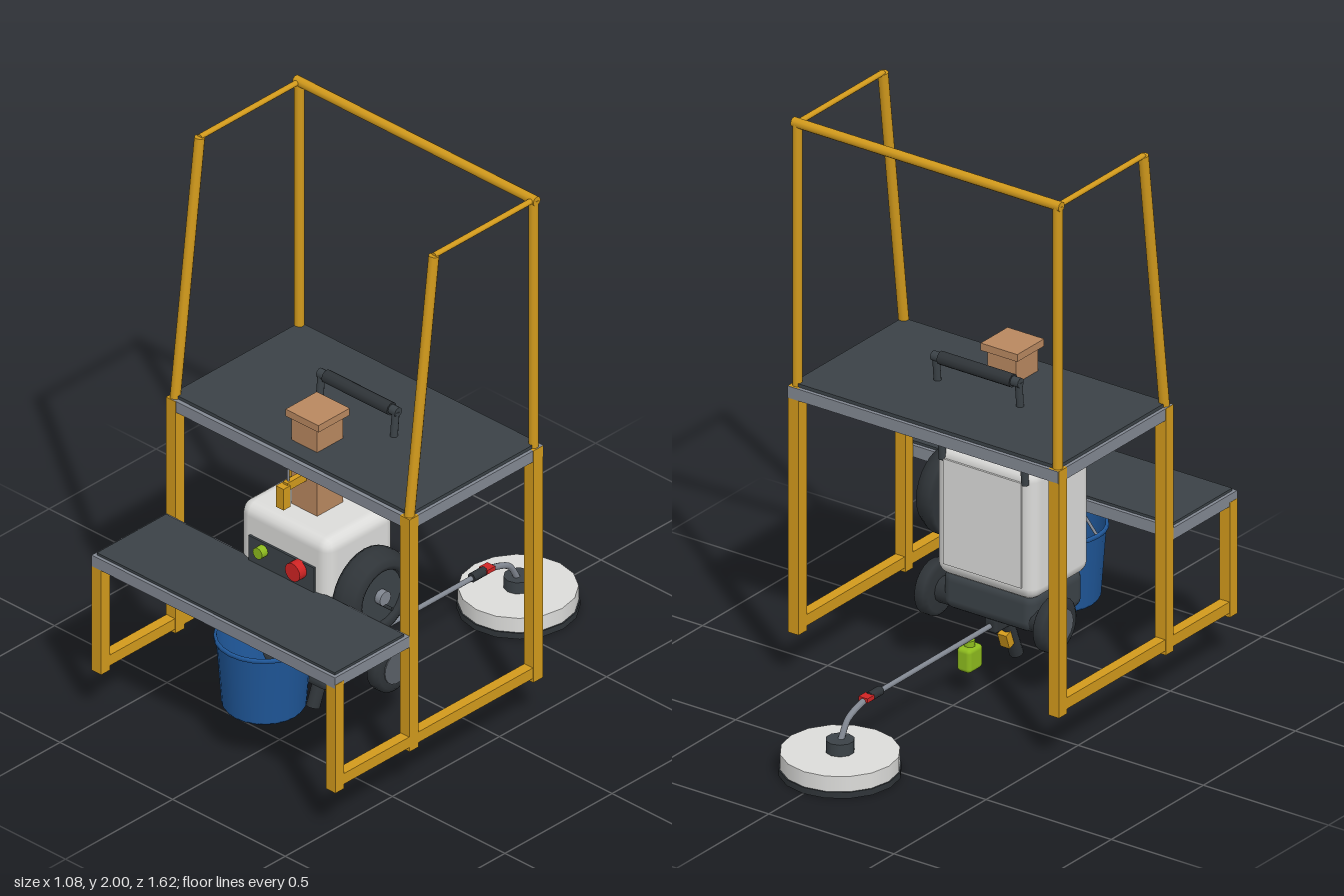
import * as THREE from 'three';
import { RoundedBoxGeometry } from 'three/addons/geometries/RoundedBoxGeometry.js';

export function createModel() {
  const root = new THREE.Group();
  const mat = (name, color, opts = {}) => {
    const m = new THREE.MeshStandardMaterial({ color, ...opts });
    m.name = name;
    return m;
  };
  const yellow = mat('yellow paint', 0xd29a1c);
  const grey = mat('grey metal', 0x828892);
  const dark = mat('dark plastic', 0x3b4247);
  const rubber = mat('black rubber', 0x2f3438);
  const hubGrey = mat('hub grey', 0x5a6067);
  const white = mat('white shell', 0xdcdcda);
  const blue = mat('blue plastic', 0x1f5799, { side: THREE.DoubleSide });
  const tan = mat('tan cardboard', 0xb98860);
  const red = mat('red', 0xd02424);
  const green = mat('green', 0x8dbb1e);

  const V = (x, y, z) => new THREE.Vector3(x, y, z);
  const add = (name, geo, m, parent = root) => {
    const mesh = new THREE.Mesh(geo, m);
    mesh.name = name;
    parent.add(mesh);
    return mesh;
  };
  // Box given by its ranges on each axis
  const box = (name, m, x0, x1, y0, y1, z0, z1, r = 0) => {
    const s = [x1 - x0, y1 - y0, z1 - z0];
    const geo = r ? new RoundedBoxGeometry(...s, 2, r) : new THREE.BoxGeometry(...s);
    const mesh = add(name, geo, m);
    mesh.position.set((x0 + x1) / 2, (y0 + y1) / 2, (z0 + z1) / 2);
    return mesh;
  };
  // Round bar between two points
  const bar = (name, m, a, b, r, r2 = r, sides = 10) => {
    const d = b.clone().sub(a);
    const mesh = add(name, new THREE.CylinderGeometry(r2, r, d.length(), sides), m);
    mesh.position.copy(a).add(b).multiplyScalar(0.5);
    mesh.quaternion.setFromUnitVectors(V(0, 1, 0), d.normalize());
    return mesh;
  };
  const tube = (name, m, pts, r, tension = 0.5) => add(name, new THREE.TubeGeometry(
    new THREE.CatmullRomCurve3(pts, false, 'catmullrom', tension), 24, r, 8), m);
  // Revolved part; points are [radius, height]
  const lathe = (name, m, pts, n, parent = root) =>
    add(name, new THREE.LatheGeometry(pts.map(p => new THREE.Vector2(...p)), n), m, parent);

  // Steel stand: square legs, foot rails and guard rails on both sides
  for (const s of [-1, 1]) {
    const x0 = s * 0.52 - 0.021, x1 = s * 0.52 + 0.021;
    box('backLeg', yellow, x0, x1, 0.17, 1.05, -0.16, -0.115);
    box('middleLeg', yellow, x0, x1, 0.17, 1.05, 0.42, 0.462);
    box('stepLeg', yellow, x0, x1, 0.17, 0.58, 0.768, 0.809);
    box('footRail', yellow, x0 + 0.002, x1 - 0.002, 0.185, 0.225, -0.12, 0.78);
    bar('backGuardPost', yellow, V(s * 0.52, 1.04, -0.138), V(s * 0.52, 1.985, -0.138), 0.017);
    bar('frontGuardPost', yellow, V(s * 0.52, 1.04, 0.442), V(s * 0.52, 1.985, 0.327), 0.018);
    const side = bar('sideGuardRail', yellow, V(s * 0.52, 1.985, -0.138), V(s * 0.52, 1.985, 0.327), 0.009, 0.009);
    side.scale.x = 1.2;
  }
  bar('topGuardRail', yellow, V(-0.535, 1.985, -0.138), V(0.535, 1.985, -0.138), 0.017);

  // Platform and step: grey frame with a dark mat
  box('platformFrame', grey, -0.54, 0.54, 1.008, 1.05, -0.163, 0.46);
  box('platformMat', dark, -0.528, 0.528, 1.05, 1.062, -0.15, 0.445);
  box('stepFrame', grey, -0.54, 0.54, 0.566, 0.608, 0.462, 0.81);
  box('stepMat', dark, -0.528, 0.528, 0.608, 0.617, 0.475, 0.798);

  // Machine shell, back panel and chassis
  box('machineBody', white, -0.2, 0.2, 0.35, 0.82, 0.165, 0.485, 0.045);
  box('backPanel', white, -0.155, 0.155, 0.4, 0.775, 0.158, 0.167);
  box('chassis', dark, -0.185, 0.185, 0.225, 0.37, 0.18, 0.47, 0.04);
  box('controlPanel', dark, -0.145, 0.145, 0.54, 0.71, 0.475, 0.493);
  bar('redKnob', red, V(0.08, 0.68, 0.49), V(0.08, 0.68, 0.525), 0.033, 0.033, 16);
  bar('greenButton', green, V(-0.08, 0.68, 0.49), V(-0.08, 0.68, 0.52), 0.021, 0.021, 12);

  // Hose reel on the left flank
  const reel = new THREE.Group();
  reel.name = 'hoseReel';
  reel.position.set(0.2, 0.583, 0.322);
  reel.rotation.z = -Math.PI / 2;
  root.add(reel);
  lathe('reelTyre', rubber, [[0, 0.005], [0.15, 0.005], [0.155, 0.02], [0.155, 0.05], [0.135, 0.085], [0.115, 0.097], [0.098, 0.09], [0.095, 0.07]], 28, reel);
  const reelDisc = add('reelDisc', new THREE.CylinderGeometry(0.096, 0.096, 0.07, 24), dark, reel);
  reelDisc.position.y = 0.042;
  const reelHub = add('reelHub', new THREE.CylinderGeometry(0.026, 0.026, 0.03, 12), grey, reel);
  reelHub.position.y = 0.085;
  bar('reelCrank', rubber, V(0.28, 0.556, 0.322), V(0.33, 0.556, 0.322), 0.006);

  // Road wheels and axle
  bar('axle', rubber, V(-0.22, 0.268, 0.23), V(0.22, 0.268, 0.23), 0.045, 0.045, 12);
  for (const s of [-1, 1]) {
    const wheel = new THREE.Group();
    wheel.name = 'wheel';
    wheel.position.set(s * 0.237, 0.268, 0.23);
    wheel.rotation.z = -s * Math.PI / 2;
    root.add(wheel);
    lathe('tyre', rubber, [[0, -0.027], [0.08, -0.027], [0.095, -0.017], [0.095, 0.017], [0.08, 0.027], [0.06, 0.027], [0, 0.027]], 22, wheel);
    const hub = add('wheelHub', new THREE.CylinderGeometry(0.06, 0.06, 0.03, 18), hubGrey, wheel);
    hub.position.y = 0.016;
  }

  // Push handle passing through the platform
  for (const s of [-1, 1]) {
    bar('handleTube', dark, V(s * 0.165, 0.77, 0.168), V(s * 0.165, 1.15, 0.132), 0.013);
  }
  bar('handleCrossbar', dark, V(-0.175, 1.15, 0.13), V(0.175, 1.15, 0.13), 0.017);
  bar('handleGrip', rubber, V(-0.145, 1.15, 0.13), V(0.145, 1.15, 0.13), 0.023);

  // Tan column with its cap
  box('column', tan, -0.057, 0.057, 0.81, 1.15, 0.265, 0.385);
  box('columnCap', tan, -0.073, 0.073, 1.15, 1.176, 0.25, 0.396);

  // Yellow hook on the column
  box('hookArm', yellow, -0.01, 0.01, 0.935, 0.965, 0.38, 0.475);
  box('hookBody', yellow, -0.017, 0.017, 0.877, 0.957, 0.467, 0.5);
  bar('hookWire', grey, V(0, 0.95, 0.46), V(0, 1.01, 0.46), 0.004);

  // Open bucket with wire handle
  const bucket = lathe('bucket', blue, [[0, 0], [0.132, 0], [0.138, 0.01], [0.155, 0.245], [0.163, 0.25], [0.163, 0.262], [0.153, 0.262]], 24);
  bucket.position.set(0, 0.172, 0.573);
  tube('bucketHandle', grey, [V(-0.157, 0.425, 0.573), V(-0.05, 0.545, 0.573), V(0, 0.563, 0.573), V(0.05, 0.545, 0.573), V(0.157, 0.425, 0.573)], 0.005);

  // Spray gun under the chassis
  box('gunBody', rubber, -0.025, 0.025, 0.18, 0.235, 0.2, 0.35, 0.012);
  bar('gunGrip', rubber, V(0, 0.055, 0.345), V(0, 0.2, 0.288), 0.024);
  const trigger = box('gunTrigger', yellow, -0.018, 0.018, 0.1, 0.155, 0.273, 0.3);
  trigger.rotation.x = -0.35;
  box('detergentBottle', green, -0.028, 0.028, 0.095, 0.18, 0.052, 0.13, 0.015);
  bar('bottleNeck', green, V(0, 0.17, 0.09), V(0, 0.2, 0.09), 0.018);

  // Lance to the surface cleaner
  bar('lance', grey, V(0, 0.205, 0.22), V(0, 0.205, -0.42), 0.009);
  bar('lanceCoupling', rubber, V(0, 0.207, -0.395), V(0, 0.207, -0.455), 0.016);
  box('couplingClip', red, -0.018, 0.018, 0.202, 0.217, -0.488, -0.45);
  tube('bentLance', grey, [V(0, 0.207, -0.44), V(0, 0.2, -0.5), V(0, 0.172, -0.57), V(0, 0.11, -0.61)], 0.011);

  // Surface cleaner disc
  const disc = (name, m, r, y0, y1, n) =>
    bar(name, m, V(0, y0, -0.613), V(0, y1, -0.613), r, r, n);
  disc('cleanerSkirt', rubber, 0.2, 0, 0.022, 16);
  disc('cleanerHousing', white, 0.195, 0.02, 0.076, 16);
  disc('cleanerHub', dark, 0.048, 0.074, 0.118, 10);

  return root;
}
